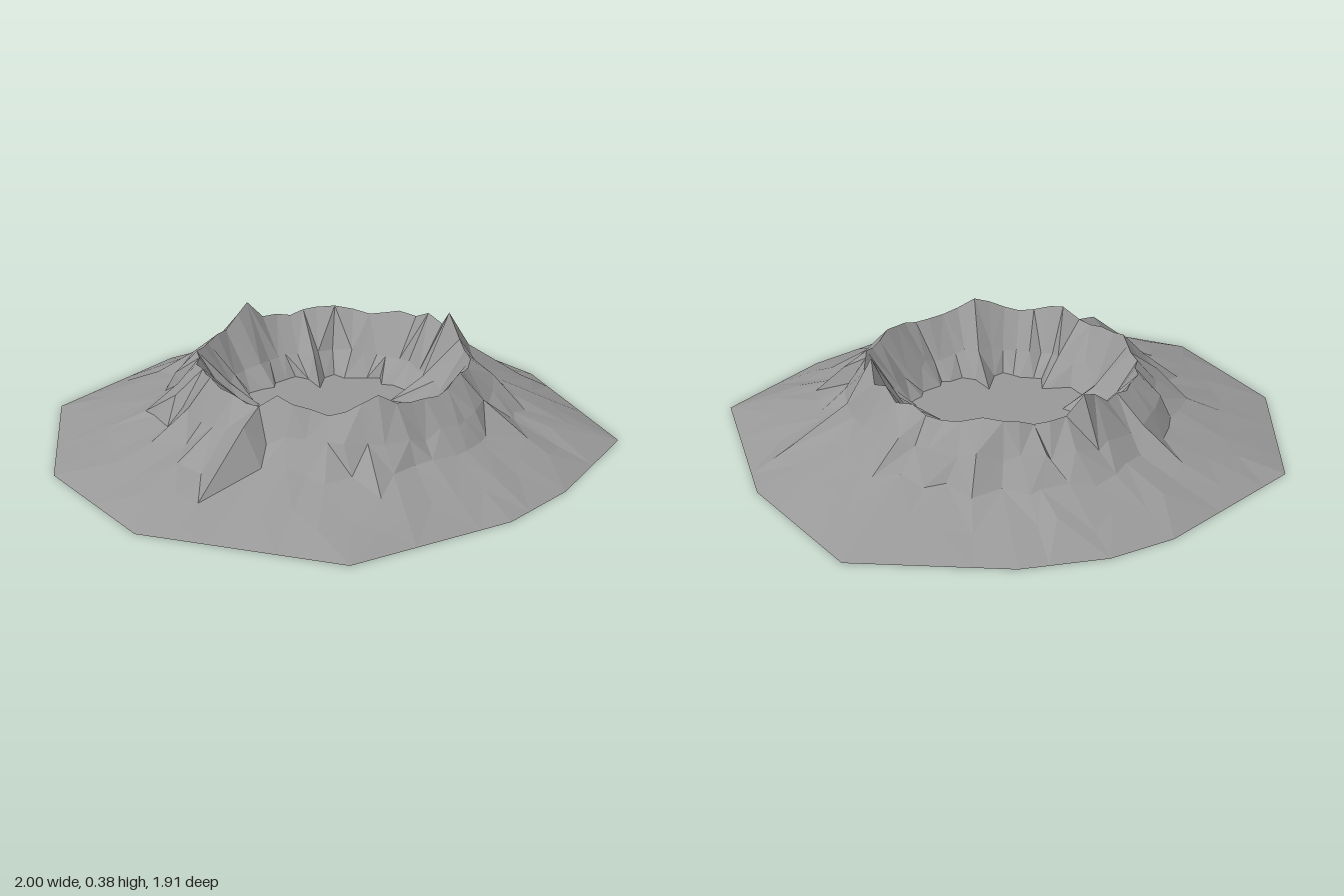
import * as THREE from 'three';

const material = new THREE.MeshStandardMaterial({ color: 0x999999, flatShading: true, side: THREE.DoubleSide });

// Irregular ground outline, x and z, in order of rising angle
const OUTLINE = [
  [-0.71, -0.75], [-0.12, -0.95], [0.13, -0.96], [0.43, -0.88], [0.92, -0.58], [1, -0.01],
  [0.86, 0.66], [0.42, 0.88], [0.12, 0.955], [-0.5, 0.91], [-0.97, 0.34], [-1, -0.21],
];

// Features around the crater: angle in degrees, then size
const CRAGS = [[7, 0.105], [-8, 0.05], [-23, 0.04], [-100, 0.1], [-60, 0.03], [144, 0.06], [106, 0.055], [183, 0.025], [60, 0.02]];
const OUTER_SPURS = [
  [7, 0.17], [37, 0.08], [57, 0.1], [112, 0.13], [126, 0.03], [155, 0.24], [167, 0.1], [183, 0.1],
  [203, 0.04], [240, 0.1], [268, 0.04], [287, 0.03], [304, 0.04], [321, 0.04], [338, 0.1],
];
const INNER_SPURS = [
  [18, 0.13], [65, 0.02], [105, 0.13], [135, 0.05], [157, 0.1], [200, 0.13],
  [220, 0.05], [255, 0.05], [290, 0.12], [314, 0.06], [345, 0.04],
];

function seeded(seed) {
  let s = seed;
  return () => {
    s = (s * 16807) % 2147483647;
    return s / 2147483647;
  };
}

// Sum of narrow peaks from a feature list at one angle
function peaks(list, angle, width) {
  return list.reduce((sum, [degrees, size]) => {
    let gap = Math.abs(angle - THREE.MathUtils.degToRad(degrees)) % (Math.PI * 2);
    gap = Math.min(gap, Math.PI * 2 - gap);
    return sum + size * Math.max(0, 1 - gap / width);
  }, 0);
}

// Strip of quads between closed rings, listed from the inside out
function ringStrip(name, rings) {
  const n = rings[0].length;
  const index = [];
  for (let r = 0; r < rings.length - 1; r++) {
    for (let i = 0; i < n; i++) {
      const a = r * n + i, b = r * n + ((i + 1) % n), c = a + n, d = b + n;
      if (i % 2) index.push(a, b, c, b, d, c);
      else index.push(a, b, d, a, d, c);
    }
  }
  const geometry = new THREE.BufferGeometry().setFromPoints(rings.flat());
  geometry.setIndex(index);
  geometry.computeVertexNormals();
  const mesh = new THREE.Mesh(geometry, material);
  mesh.name = name;
  return mesh;
}

export function createModel() {
  const group = new THREE.Group();
  group.name = 'crater';
  const rand = seeded(4217);
  const jitter = (amount) => (rand() * 2 - 1) * amount;

  // Split each outline edge into steps of about seven degrees
  const edge = [];
  OUTLINE.forEach(([x0, z0], k) => {
    const [x1, z1] = OUTLINE[(k + 1) % OUTLINE.length];
    let sweep = Math.atan2(z1, x1) - Math.atan2(z0, x0);
    if (sweep < 0) sweep += Math.PI * 2;
    const steps = Math.max(1, Math.round(sweep / 0.125));
    for (let s = 0; s < steps; s++) {
      const t = s / steps;
      edge.push(new THREE.Vector3(x0 + (x1 - x0) * t, 0, z0 + (z1 - z0) * t));
    }
  });

  const floorCentre = [], floorEdge = [], innerSlope = [], rim = [], buttress = [], talus = [], apron = [];
  edge.forEach((p) => {
    const angle = Math.atan2(p.z, p.x);
    const at = (radius, y, turn = 0) => new THREE.Vector3(
      0.04 + radius * Math.cos(angle + turn), y, radius * Math.sin(angle + turn));

    // Inner wall, with spurs running out over the flat floor
    const inner = peaks(INNER_SPURS, angle, 0.17);
    floorCentre.push(at(0, 0.083));
    floorEdge.push(at(0.335 - inner + jitter(0.015), 0.083, jitter(0.03)));
    innerSlope.push(at(0.4 - 0.4 * inner + jitter(0.012), 0.155 + 0.15 * inner + jitter(0.012), jitter(0.04)));
    rim.push(at(0.495 + jitter(0.012), 0.287 + jitter(0.01) + peaks(CRAGS, angle, 0.17)));

    // Outer wall, its buttresses in line with the spurs at its foot
    const outer = peaks(OUTER_SPURS, angle, 0.14);
    buttress.push(at(0.575 + 0.15 * outer + jitter(0.015), 0.19 + 0.25 * outer + jitter(0.022), jitter(0.04)));
    const foot = at(0.645 + outer + jitter(0.02), 0.122 - 0.28 * outer + jitter(0.008), jitter(0.03));
    talus.push(foot);

    // Uneven ground halfway out
    const ground = foot.clone().lerp(p, 0.5 + jitter(0.15));
    ground.y += jitter(0.007);
    apron.push(ground);
  });

  group.add(
    ringStrip('craterFloor', [floorCentre, floorEdge]),
    ringStrip('innerWall', [floorEdge, innerSlope, rim]),
    ringStrip('outerWall', [rim, buttress, talus]),
    ringStrip('groundSkirt', [talus, apron, edge]),
  );
  return group;
}
